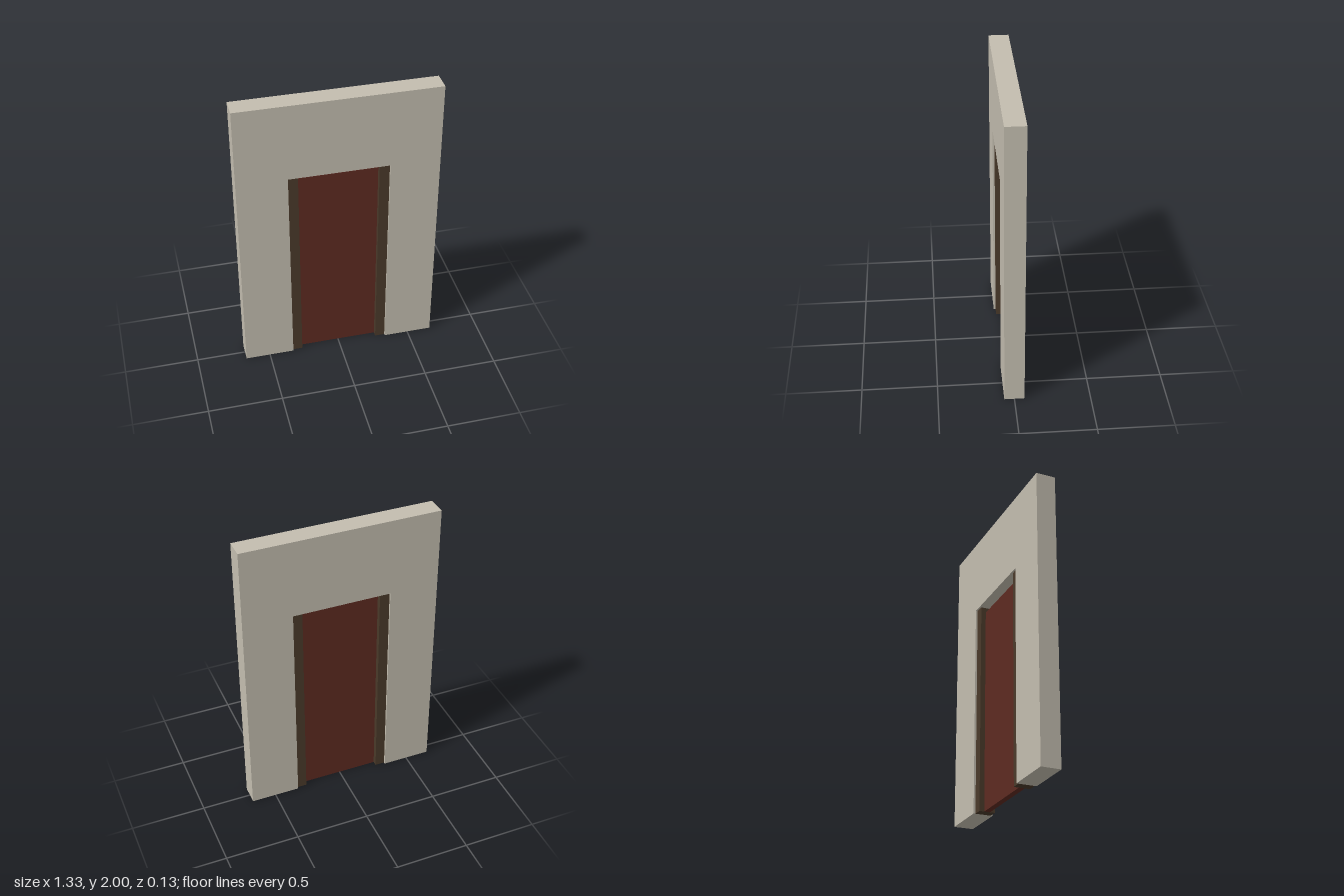
import * as THREE from 'three';

const WALL_W = 1.333, WALL_H = 2, WALL_D = 0.133;
const OPEN_HALF = 0.333, OPEN_H = 1.467;
const JAMB_W = 0.067, JAMB_D = 0.107;
const DOOR_H = 1.433, DOOR_D = 0.04;

function material(name, color) {
  const m = new THREE.MeshStandardMaterial({ color });
  m.name = name;
  return m;
}

// Box standing on the floor
function standingBox(name, w, h, d, x, mat) {
  const mesh = new THREE.Mesh(new THREE.BoxGeometry(w, h, d), mat);
  mesh.name = name;
  mesh.position.set(x, h / 2, 0);
  return mesh;
}

export function createModel() {
  const plaster = material('plaster', 0xc3bdaf);
  const darkWood = material('dark wood', 0x4a3a2a);
  const redWood = material('red wood', 0x5e2a21);

  const group = new THREE.Group();
  group.name = 'doorway';

  // Wall with a doorway cut up from the floor
  const w = WALL_W / 2;
  const outline = new THREE.Shape([
    [-w, 0], [-OPEN_HALF, 0], [-OPEN_HALF, OPEN_H], [OPEN_HALF, OPEN_H],
    [OPEN_HALF, 0], [w, 0], [w, WALL_H], [-w, WALL_H],
  ].map(([x, y]) => new THREE.Vector2(x, y)));
  const wallGeometry = new THREE.ExtrudeGeometry(outline, { depth: WALL_D, bevelEnabled: false });
  wallGeometry.translate(0, 0, -WALL_D / 2);
  const wall = new THREE.Mesh(wallGeometry, plaster);
  wall.name = 'wall';
  group.add(wall);

  // Jambs, slightly recessed on both faces
  for (const [name, side] of [['leftJamb', 1], ['rightJamb', -1]]) {
    group.add(standingBox(name, JAMB_W, OPEN_H, JAMB_D, side * (OPEN_HALF - JAMB_W / 2), darkWood));
  }

  // Door leaf, with a gap above it
  group.add(standingBox('door', 2 * (OPEN_HALF - JAMB_W), DOOR_H, DOOR_D, 0, redWood));

  return group;
}
